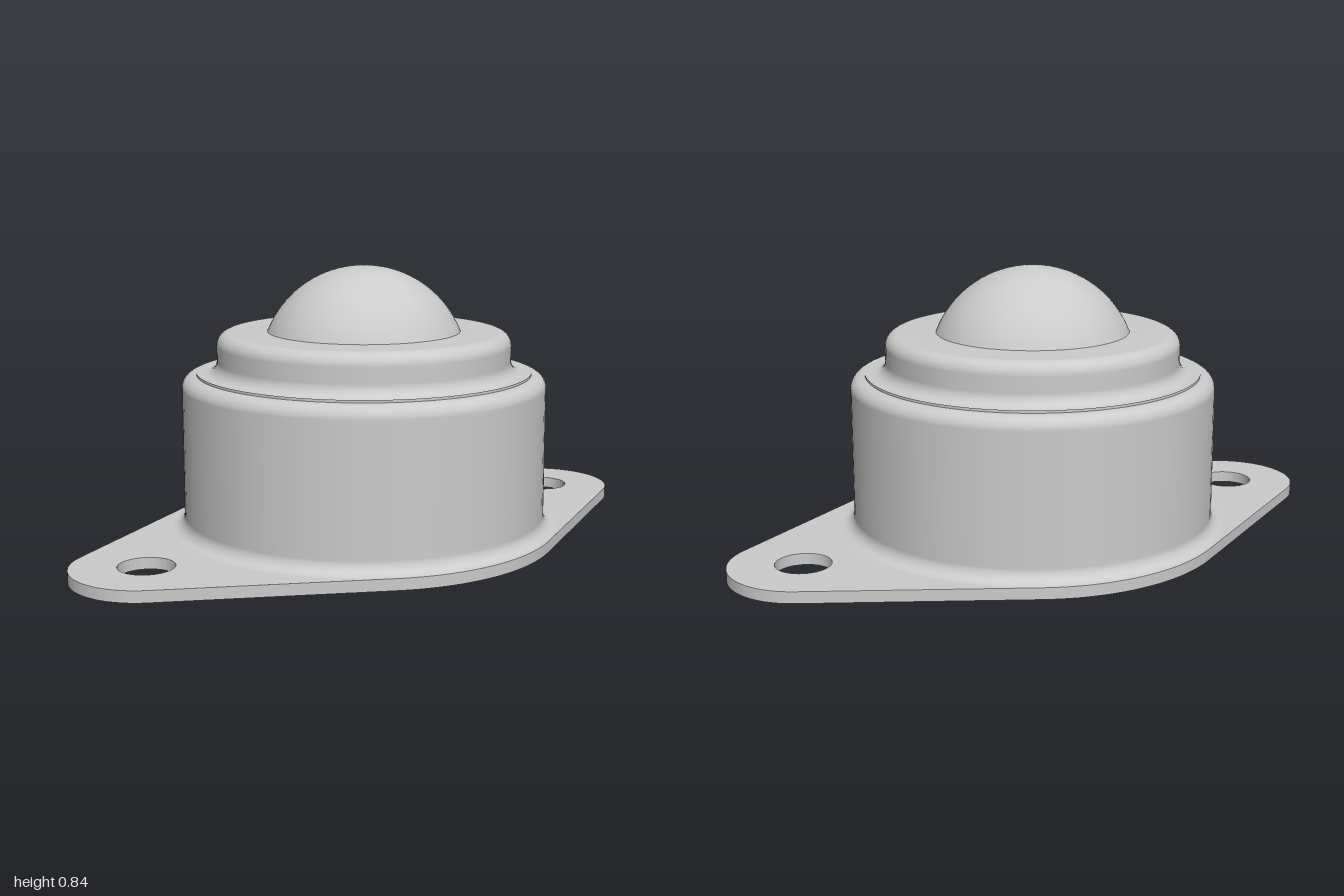
import * as THREE from 'three';
import { toCreasedNormals } from 'three/addons/utils/BufferGeometryUtils.js';

const material = new THREE.MeshStandardMaterial({ color: 0xcccccc });
const PLATE_TOP = 0.035, BORE = 0.525, BALL_Y = 0.52;

function add(group, name, geometry, y = 0) {
  const mesh = new THREE.Mesh(geometry, material);
  mesh.name = name;
  mesh.position.y = y;
  group.add(mesh);
}

// Points of a quarter round in the lathe profile, angles in degrees
function arc(cx, cy, r, from, to, steps = 8) {
  return Array.from({ length: steps + 1 }, (_, i) => {
    const a = THREE.MathUtils.degToRad(from + (to - from) * i / steps);
    return new THREE.Vector2(cx + r * Math.cos(a), cy + r * Math.sin(a));
  });
}

function hole(x, r) {
  return new THREE.Path().absarc(x, 0, r, 0, Math.PI * 2, true);
}

// Flange outline: a large centre circle joined by tangents to two ear circles
function flangeGeometry() {
  const R = 0.6, r = 0.22, d = 0.78;
  const t = Math.acos((R - r) / d); // direction of the tangent points
  const shape = new THREE.Shape();
  shape.absarc(d, 0, r, -t, t, false);
  shape.absarc(0, 0, R, t, Math.PI - t, false);
  shape.absarc(-d, 0, r, Math.PI - t, Math.PI + t, false);
  shape.absarc(0, 0, R, Math.PI + t, 2 * Math.PI - t, false);
  shape.closePath();
  shape.holes.push(hole(0, BORE), hole(d, 0.083), hole(-d, 0.083));
  const geometry = new THREE.ExtrudeGeometry(shape, { depth: PLATE_TOP, bevelEnabled: false, curveSegments: 40 });
  geometry.rotateX(-Math.PI / 2);
  return toCreasedNormals(geometry, 0.6);
}

export function createModel() {
  const model = new THREE.Group();
  model.name = 'ballTransferUnit';

  add(model, 'mountingFlange', flangeGeometry());

  // Stepped housing with filleted foot, shoulder and rim
  const profile = [
    ...arc(0.6, PLATE_TOP + 0.04, 0.04, 270, 180),
    ...arc(0.52, 0.472, 0.04, 0, 90),
    ...arc(0.492, 0.552, 0.04, 270, 180),
    ...arc(0.412, 0.6, 0.04, 0, 90),
    new THREE.Vector2(0.28, 0.64),
  ];
  add(model, 'housing', new THREE.LatheGeometry(profile, 96));

  // Inner wall, running downwards so that it faces the axis
  const bore = [new THREE.Vector2(BORE, 0.5), new THREE.Vector2(BORE, PLATE_TOP)];
  add(model, 'housingBore', new THREE.LatheGeometry(bore, 96));

  // Bearing cup seen from below, concentric with the ball
  add(model, 'bearingCup', new THREE.SphereGeometry(0.515, 96, 32, 0, Math.PI * 2, Math.PI / 2, Math.PI / 2), BALL_Y);

  add(model, 'ball', new THREE.SphereGeometry(0.32, 64, 48), BALL_Y);

  return model;
}
